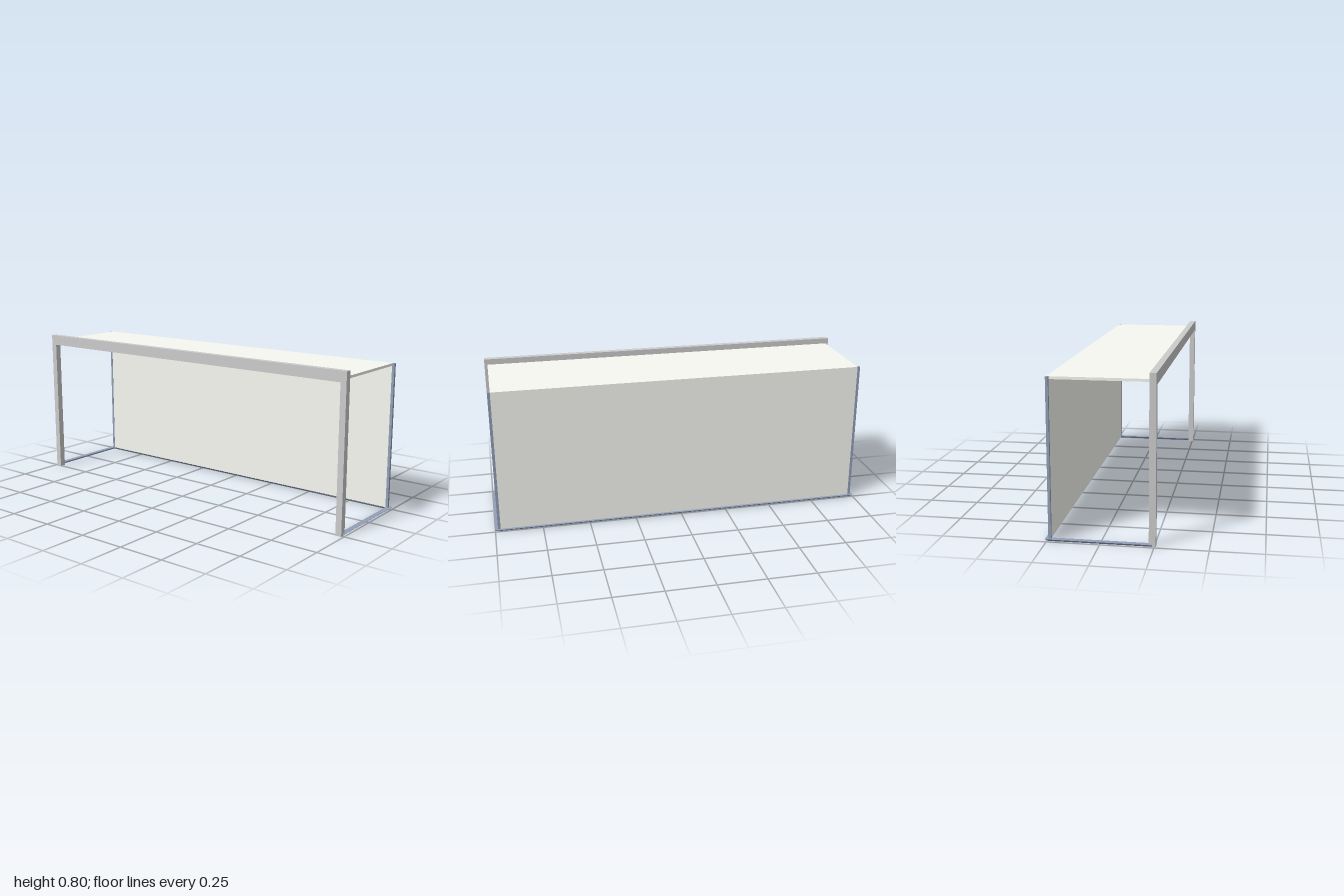
import * as THREE from 'three';

const frameMat = new THREE.MeshStandardMaterial({ color: 0xcccccc });
const railMat = new THREE.MeshStandardMaterial({ color: 0x919fb7, flatShading: true });
const netMat = new THREE.MeshStandardMaterial({ color: 0xf8f8f2 });

function add(parent, name, geometry, material) {
  const mesh = new THREE.Mesh(geometry, material);
  mesh.name = name;
  parent.add(mesh);
  return mesh;
}

// Box given by its lower and upper bounds
function boundsBox([x0, x1], [y0, y1], [z0, z1]) {
  return new THREE.BoxGeometry(x1 - x0, y1 - y0, z1 - z0)
    .translate((x0 + x1) / 2, (y0 + y1) / 2, (z0 + z1) / 2);
}

// V-section rail swept in a U around the sides and back, mitred at the corners
function groundRailGeometry() {
  const section = [[0.014, 0.012], [-0.014, 0.012], [0, 0]]; // outward offset, height
  const stations = [ // x, z, outward direction x, z
    [-0.986, 0.24, -1, 0],
    [-0.986, -0.243, -1, -1],
    [0.986, -0.243, 1, -1],
    [0.986, 0.24, 1, 0],
  ];
  const positions = [];
  for (const [x, z, dx, dz] of stations) {
    for (const [o, y] of section) positions.push(x + dx * o, y, z + dz * o);
  }
  const n = section.length;
  const index = [0, 2, 1];
  for (let i = 0; i < stations.length - 1; i++) {
    for (let k = 0; k < n; k++) {
      const a = i * n + k, b = i * n + (k + 1) % n;
      index.push(a, b, b + n, a, b + n, a + n);
    }
  }
  index.push(9, 10, 11);
  const geometry = new THREE.BufferGeometry();
  geometry.setAttribute('position', new THREE.Float32BufferAttribute(positions, 3));
  geometry.setIndex(index);
  const flat = geometry.toNonIndexed();
  flat.computeVertexNormals();
  return flat;
}

export function createModel() {
  const goal = new THREE.Group();
  goal.name = 'goal';

  // Front frame: two posts and a crossbar in one piece
  const outline = new THREE.Shape([
    [-0.988, 0], [-0.956, 0], [-0.956, 0.745], [0.956, 0.745],
    [0.956, 0], [0.988, 0], [0.988, 0.8], [-0.988, 0.8],
  ].map(([x, y]) => new THREE.Vector2(x, y)));
  const frame = new THREE.ExtrudeGeometry(outline, { depth: 0.032, bevelEnabled: false });
  add(goal, 'frontFrame', frame.translate(0, 0, 0.225), frameMat);

  // Ground rail and slim back posts
  add(goal, 'groundRail', groundRailGeometry(), railMat);
  for (const [name, x] of [['leftBackPost', 0.979], ['rightBackPost', -0.979]]) {
    add(goal, name, boundsBox([x - 0.007, x + 0.007], [0.006, 0.77], [-0.243, -0.23]), railMat);
  }

  // Roof and back panels
  add(goal, 'roofPanel', boundsBox([-0.972, 0.972], [0.757, 0.77], [-0.242, 0.225]), netMat);
  add(goal, 'backPanel', boundsBox([-0.972, 0.972], [0.01, 0.757], [-0.242, -0.231]), netMat);

  return goal;
}
